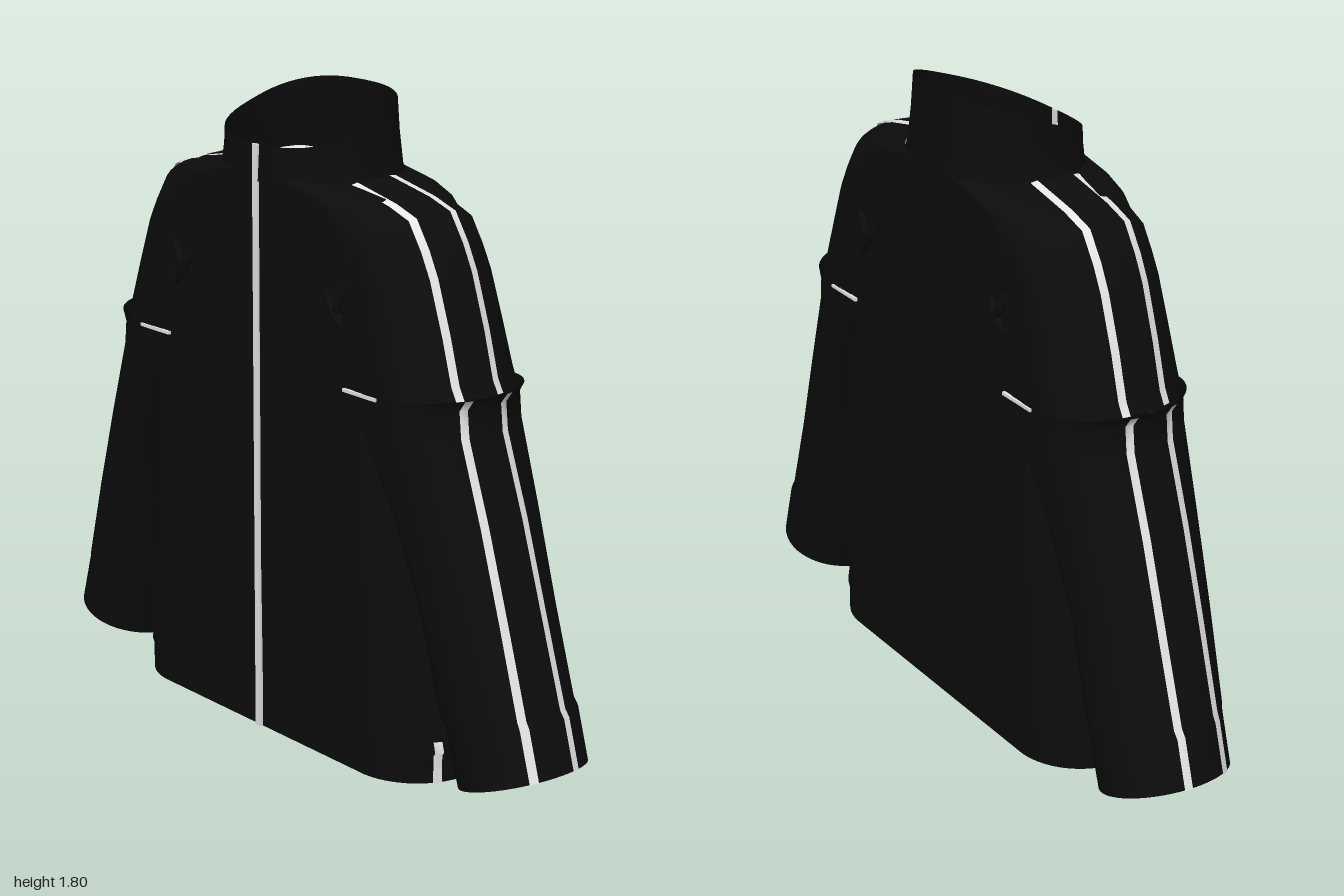
import * as THREE from 'three';

const N = 48;

// Ring: inner point (ax, ay), outer point (bx, by), half depth d, centre z, inner rounding k
function ringPoint([ax, ay, bx, by, d, zc = 0, k = 1], t, out = 0) {
  const len = Math.hypot(bx - ax, by - ay), ux = (bx - ax) / len, uy = (by - ay) / len;
  const h = len / 2, c = Math.cos(t);
  const r = Math.min(h, d) * (c < 0 ? k : 1);
  const s = Math.sign(c) * (h - r) + (r + out) * c;
  return [(ax + bx) / 2 + ux * s, (ay + by) / 2 + uy * s, zc + (d + out) * Math.sin(t)];
}

// Joins rows of points with quads; side = -1 mirrors to the other half
function skin(rows, closed, side = 1) {
  const n = rows[0].length, pos = [], idx = [];
  rows.forEach(row => row.forEach(p => pos.push(p[0] * side, p[1], p[2])));
  for (let j = 0; j < rows.length - 1; j++) {
    for (let i = 0; i < (closed ? n : n - 1); i++) {
      const a = j * n + i, b = j * n + (i + 1) % n, c = a + n, d = b + n;
      if (side > 0) idx.push(a, b, c, b, d, c);
      else idx.push(a, c, b, b, c, d);
    }
  }
  const g = new THREE.BufferGeometry();
  g.setAttribute('position', new THREE.Float32BufferAttribute(pos, 3));
  g.setIndex(idx);
  g.computeVertexNormals();
  return g;
}

const loft = (rings, side) => skin(rings.map(r =>
  Array.from({ length: N }, (_, i) => ringPoint(r, (i + 0.5) / N * Math.PI * 2))), true, side);

// Thin ribbon lying on the outer side of a loft at depth z
const ribbon = (rings, z, side) => skin(rings.map(r => [z - 0.011, z + 0.011].map(v =>
  ringPoint(r, Math.asin((v - (r[5] || 0)) / r[4]), 0.006))), false, side);

export function createModel() {
  const model = new THREE.Group();
  const black = new THREE.MeshStandardMaterial({ color: 0x0c0c0c, side: THREE.DoubleSide });
  black.name = 'black fabric';
  const white = new THREE.MeshStandardMaterial({ color: 0xf0f0f0, side: THREE.DoubleSide });
  white.name = 'white trim';

  function add(name, geometry, material, parent = model) {
    const mesh = new THREE.Mesh(geometry, material);
    mesh.name = name;
    parent.add(mesh);
    return mesh;
  }

  // Body: [height, half width], open at neck and hem
  const body = [
    [1.59, 0.27], [1.565, 0.4], [1.54, 0.46], [1.49, 0.51], [1.4, 0.545], [1.25, 0.56],
    [1.0, 0.58], [0.5, 0.61], [0.12, 0.63], [0.09, 0.637], [0.08, 0.63], [0, 0.63],
  ].map(([y, w]) => [-w, y, w, y, y < 0.3 ? 0.198 : 0.202, 0]);
  add('body', loft(body), black);

  // Collar: rounded cross-section with a top edge sloping up to the back
  const collarRow = (w, front, back, height) => Array.from({ length: N }, (_, i) => {
    const t = i / N * Math.PI * 2, c = Math.cos(t), s = Math.sin(t), e = 2 / 2.6;
    const z = (front + back) / 2 + (front - back) / 2 * Math.sign(s) * Math.abs(s) ** e;
    return [w * Math.sign(c) * Math.abs(c) ** e, height(z), z];
  });
  const slope = z => 1.67 + (0.2 - z) * 0.35;
  add('collar', skin([
    collarRow(0.25, 0.2, -0.175, slope),
    collarRow(0.252, 0.202, -0.183, z => (slope(z) + 1.6) / 2),
    collarRow(0.262, 0.204, -0.192, () => 1.6),
    collarRow(0.27, 0.206, -0.197, () => 1.57),
  ], true), black);

  // Zip, showing on both faces of the front
  add('zip', new THREE.BoxGeometry(0.022, 1.67, 0.0095), white).position.set(0, 0.835, 0.2025);

  // Curved bar inside the neck
  const bar = new THREE.CatmullRomCurve3([[-0.45, 1.5], [-0.22, 1.57], [0, 1.615], [0.22, 1.57], [0.45, 1.5]]
    .map(([x, y]) => new THREE.Vector3(x, y, 0)));
  add('neckBar', new THREE.TubeGeometry(bar, 24, 0.022, 12), white);

  const upper = [
    [0.26, 1.45, 0.265, 1.59, 0.19],
    [0.28, 1.4, 0.42, 1.56, 0.195],
    [0.285, 1.36, 0.5, 1.535, 0.198],
    [0.29, 1.33, 0.55, 1.46, 0.2, 0, 0.8],
    [0.3, 1.3, 0.585, 1.39, 0.203, 0, 0.5],
    [0.31, 1.24, 0.635, 1.245, 0.209, 0, 0.4],
    [0.36, 1.13, 0.67, 1.12, 0.214, 0, 0.3],
    [0.37, 1.07, 0.69, 1.085, 0.214, 0, 0.3],
  ];
  const lower = [
    [0.36, 1.075, 0.725, 1.095, 0.216, 0, 0.3],
    [0.375, 1.05, 0.702, 1.065, 0.216, 0, 0.3],
    [0.39, 0.98, 0.71, 0.99, 0.214, 0, 0.4],
    [0.48, 0.75, 0.79, 0.77, 0.2, 0, 0.7],
    [0.56, 0.5, 0.87, 0.52, 0.192, 0, 0.9],
    [0.625, 0.22, 0.945, 0.285, 0.19, -0.005],
    [0.635, 0.2, 0.96, 0.265, 0.186, -0.01],
    [0.69, 0.03, 1.0, 0.13, 0.185, -0.01],
  ];

  for (const side of [1, -1]) {
    const sleeve = new THREE.Group();
    sleeve.name = side > 0 ? 'leftSleeve' : 'rightSleeve';
    model.add(sleeve);
    add('upperSleeve', loft(upper, side), black, sleeve);
    add('lowerSleeve', loft(lower, side), black, sleeve);

    // Paired stripes along the shoulder, sleeve and side hem
    for (const z of [0.083, -0.047]) {
      add('shoulderStripe', ribbon(upper, z, side), white, sleeve);
      add('sleeveStripe', ribbon(lower, z, side), white, sleeve);
      add('hemStripe', ribbon(body.slice(-4), z, side), white, sleeve);
    }

    // Sleeve seam trims and armpit folds, front and back
    for (const face of [1, -1]) {
      add('seamTrim', new THREE.BoxGeometry(0.13, 0.009, 0.009), white, sleeve)
        .position.set(side * 0.44, 1.075, face * 0.216);
      for (const [x, y, turn, len] of [[0.325, 1.27, -0.9, 0.07], [0.34, 1.3, 1.1, 0.06]]) {
        const fold = add('armpitFold', new THREE.SphereGeometry(1, 16, 10), black, sleeve);
        fold.scale.set(len, 0.018, 0.022);
        fold.position.set(side * x, y, face * 0.195);
        fold.rotation.z = side * turn;
      }
    }
  }
  return model;
}
